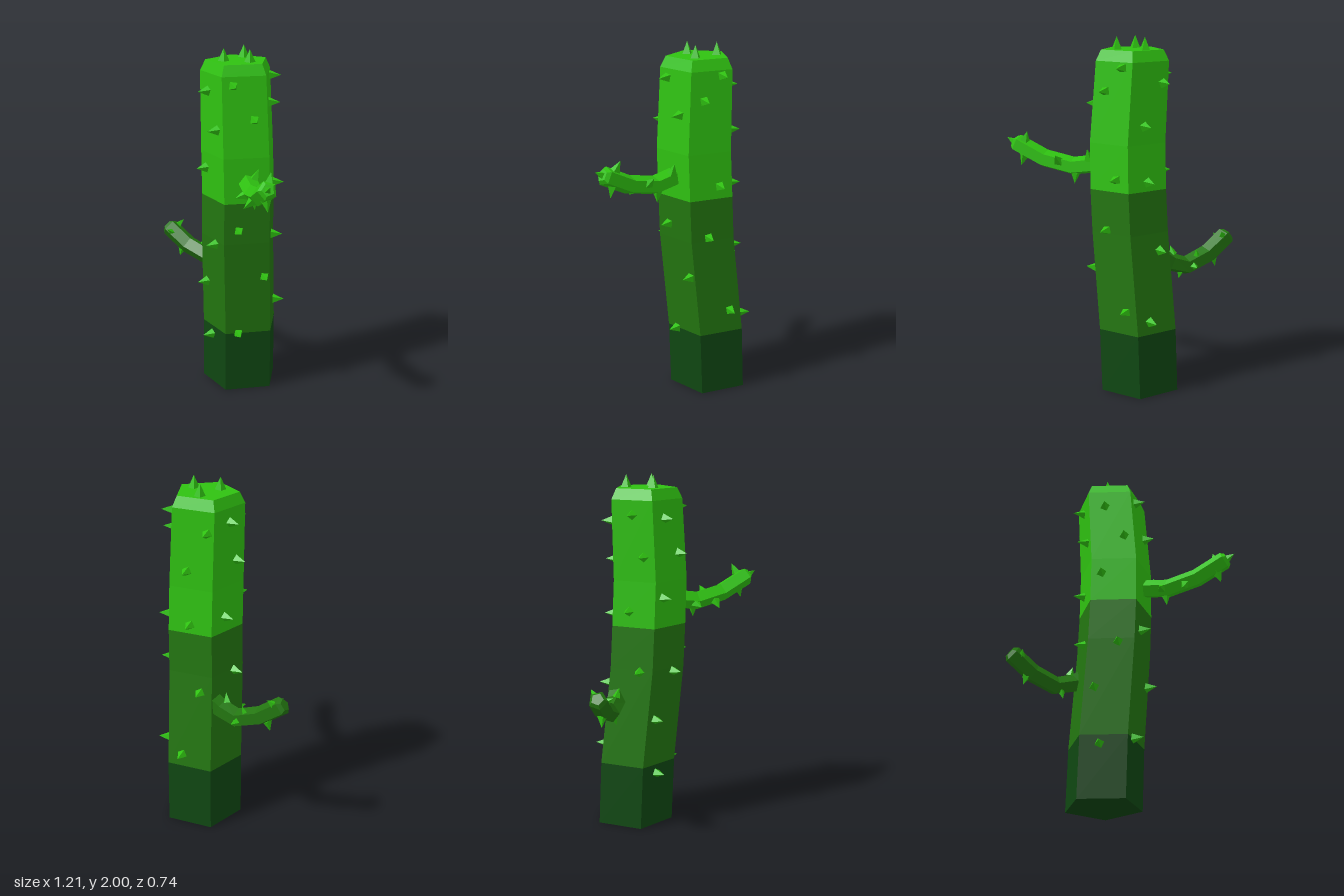
import * as THREE from 'three';

const material = (name, color) => {
  const m = new THREE.MeshStandardMaterial({ color, flatShading: true });
  m.name = name;
  return m;
};

const SIDES = 5;
// Trunk cross-sections: height, centre x, centre z, radius
const TRUNK = [
  [0, -0.035, -0.14, 0.225],
  [0.36, -0.025, -0.13, 0.225],
  [0.92, 0.005, -0.083, 0.222],
  [1.16, 0.014, -0.076, 0.221],
  [1.42, 0.015, -0.067, 0.219],
  [1.87, -0.01, -0.075, 0.21],
  [1.93, -0.01, -0.075, 0.18],
];

// Pentagon around a centre; u and v span its plane
function ring(c, u, v, r) {
  return Array.from({ length: SIDES }, (_, k) => {
    const a = (k / SIDES) * Math.PI * 2;
    return c.clone().addScaledVector(u, Math.cos(a) * r).addScaledVector(v, Math.sin(a) * r);
  });
}

// Skin between rings, with optional end caps
function loft(rings, capStart, capEnd) {
  const pts = [];
  for (let i = 0; i < rings.length - 1; i++) {
    for (let k = 0; k < SIDES; k++) {
      const n = (k + 1) % SIDES;
      const a = rings[i][k], b = rings[i][n], c = rings[i + 1][k], d = rings[i + 1][n];
      pts.push(a, c, b, b, c, d);
    }
  }
  const last = rings[rings.length - 1];
  for (let k = 1; k < SIDES - 1; k++) {
    if (capStart) pts.push(rings[0][0], rings[0][k], rings[0][k + 1]);
    if (capEnd) pts.push(last[0], last[k + 1], last[k]);
  }
  const g = new THREE.BufferGeometry().setFromPoints(pts);
  g.computeVertexNormals();
  return g;
}

const X = new THREE.Vector3(1, 0, 0), Y = new THREE.Vector3(0, 1, 0), Z = new THREE.Vector3(0, 0, 1);
const trunkRing = ([y, x, z, r]) => ring(new THREE.Vector3(x, y, z), X, Z, r);

// Trunk cross-section at any height
function trunkAt(y) {
  let i = 0;
  while (i < TRUNK.length - 2 && TRUNK[i + 1][0] < y) i++;
  const t = (y - TRUNK[i][0]) / (TRUNK[i + 1][0] - TRUNK[i][0]);
  return trunkRing(TRUNK[i].map((a, j) => THREE.MathUtils.lerp(a, TRUNK[i + 1][j], t)));
}

// Bent arm through a few points, ending in a bevelled tip
function armGeometry(points, r) {
  const p = points.map((a) => new THREE.Vector3(...a));
  const end = p.length - 1;
  const rings = p.map((c, i) => {
    const dir = p[Math.min(i + 1, end)].clone().sub(p[Math.max(i - 1, 0)]).normalize();
    const u = new THREE.Vector3().crossVectors(dir, Y).normalize();
    if (u.z < 0) u.negate();
    const v = new THREE.Vector3().crossVectors(u, dir);
    if (i < end) return [ring(c, u, v, r)];
    return [ring(c, u, v, r), ring(c.clone().addScaledVector(dir, 0.02), u, v, r * 0.65)];
  });
  return loft(rings.flat(), true, true);
}

export function createModel() {
  const model = new THREE.Group();
  model.name = 'cactus';
  const dark = material('dark green', 0x0f4712);
  const mid = material('middle green', 0x237610);
  const bright = material('bright green', 0x2fc211);

  const add = (name, geometry, mat) => {
    const mesh = new THREE.Mesh(geometry, mat);
    mesh.name = name;
    model.add(mesh);
    return mesh;
  };

  // Trunk in three colour bands
  const rings = TRUNK.map(trunkRing);
  add('trunkBase', loft(rings.slice(0, 2), true, false), dark);
  add('trunkMiddle', loft(rings.slice(1, 4), false, false), mid);
  add('trunkTop', loft(rings.slice(3), false, true), bright);

  // Arms
  add('leftArm', armGeometry([
    [0.17, 1.28, 0.035], [0.28, 1.26, 0.115], [0.42, 1.295, 0.22], [0.555, 1.375, 0.32],
  ], 0.054), bright);
  add('rightArm', armGeometry([
    [-0.1, 0.8, -0.195], [-0.2, 0.73, -0.17], [-0.31, 0.695, -0.15],
    [-0.45, 0.745, -0.12], [-0.575, 0.835, -0.09],
  ], 0.055), mid);

  // Spikes
  const spikeGeometry = new THREE.ConeGeometry(0.031, 0.07, 4).translate(0, 0.03, 0);
  const spike = (pos, dir, scale = 1) => {
    const s = add('spike', spikeGeometry, bright);
    s.position.copy(pos);
    s.quaternion.setFromUnitVectors(Y, dir.clone().normalize());
    s.scale.setScalar(scale);
    return s;
  };

  // Trunk spikes per side: [position across the side, height]
  const sideSpikes = [
    [[0.75, 1.82], [0.3, 1.63], [0.68, 1.0], [0.12, 0.71], [0.72, 0.36]],
    [[0.63, 1.77], [0.23, 1.57], [0.77, 1.33], [0.35, 0.9], [0.78, 0.635], [0.58, 0.31]],
    [[0.5, 1.79], [0.26, 1.56], [0.6, 1.25], [0.3, 0.91]],
    [[0.15, 1.75], [0.6, 1.52], [0.5, 1.21], [0.27, 0.82], [0.67, 0.43]],
    [[0.25, 1.84], [0.67, 1.71], [0.3, 1.23], [0.6, 0.94], [0.25, 0.49]],
  ];
  sideSpikes.forEach((list, side) => {
    const a = ((side + 0.5) / SIDES) * Math.PI * 2;
    const normal = new THREE.Vector3(Math.cos(a), 0, Math.sin(a));
    for (const [t, y] of list) {
      const r = trunkAt(y);
      spike(r[side].clone().lerp(r[(side + 1) % SIDES], t), normal);
    }
  });

  // Crown spikes
  for (const [x, z] of [[-0.05, -0.17], [0.08, -0.075], [-0.05, -0.005]]) {
    spike(new THREE.Vector3(x, 1.93, z), Y, 1.08).rotateY(Math.PI / 4);
  }

  // Arm spikes: position, direction, size
  const armSpikes = [
    [[0.21, 1.31, 0.03], [0.3, 1, -0.3], 1],
    [[0.24, 1.25, 0.13], [-0.5, -0.25, 0.8], 1],
    [[0.36, 1.29, 0.13], [0.5, 0.6, -0.6], 1],
    [[0.35, 1.25, 0.21], [-0.4, -0.6, 0.6], 0.9],
    [[0.27, 1.22, 0.1], [0.1, -1, 0], 0.9],
    [[0.52, 1.4, 0.27], [-0.1, 0.8, -0.4], 0.9],
    [[0.52, 1.31, 0.29], [0.3, -1, 0.1], 1],
    [[0.57, 1.385, 0.335], [0.6, 0.4, 0.5], 0.7],
    [[-0.37, 0.75, -0.16], [0.2, 1, -0.3], 0.7],
    [[-0.53, 0.82, -0.06], [0, 0.5, 0.8], 0.7],
    [[-0.54, 0.85, -0.13], [0.4, 0.7, -0.7], 0.7],
    [[-0.49, 0.72, -0.11], [-0.3, -1, 0.1], 0.9],
    [[-0.28, 0.66, -0.14], [0.2, -1, 0.2], 0.7],
    [[-0.23, 0.77, -0.15], [0.3, 1, 0.2], 0.8],
    [[-0.34, 0.7, -0.2], [0, 0, -1], 0.7],
  ];
  for (const [p, d, s] of armSpikes) {
    spike(new THREE.Vector3(...p), new THREE.Vector3(...d), s);
  }
  return model;
}
